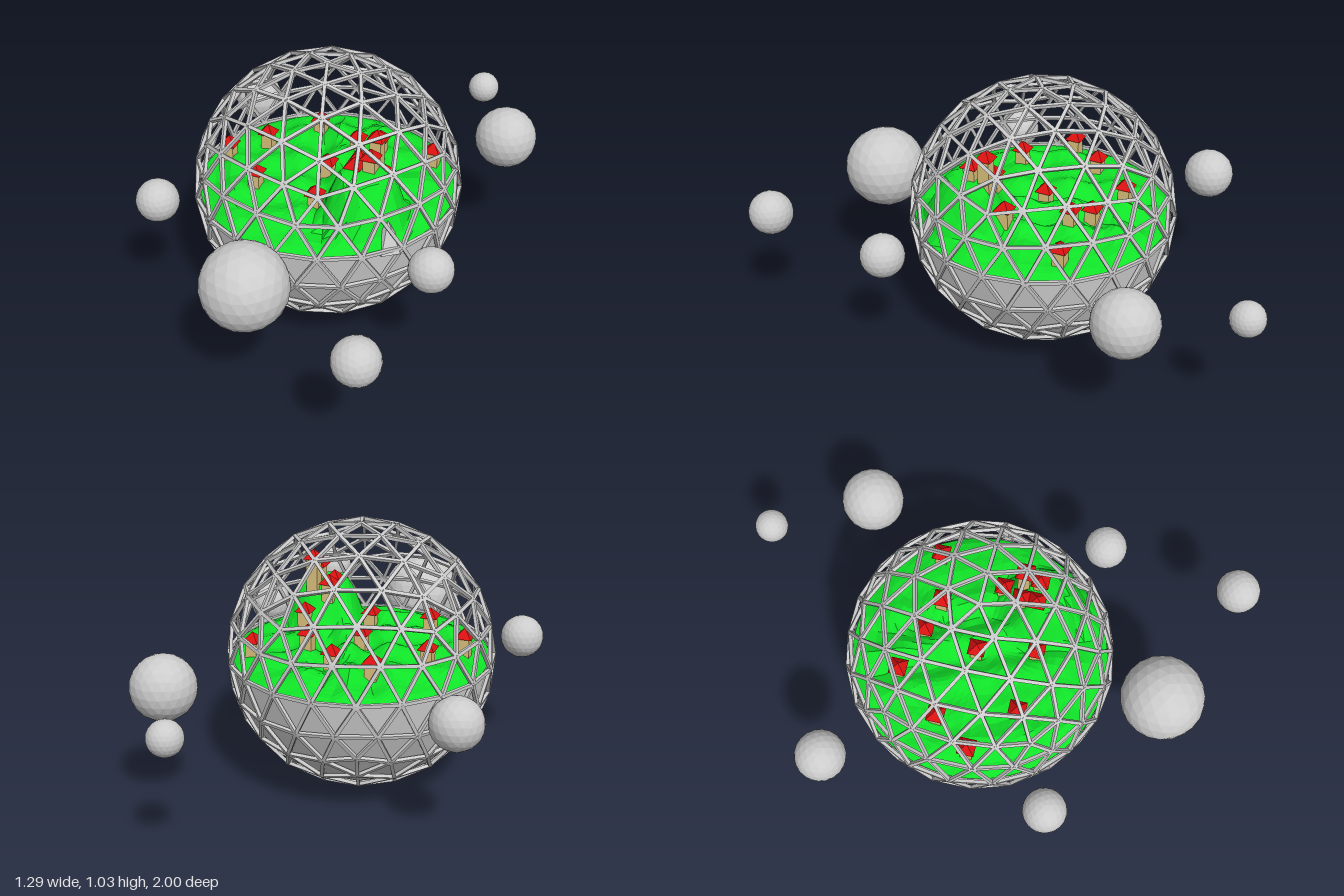
import * as THREE from 'three';
import { mergeGeometries } from 'three/addons/utils/BufferGeometryUtils.js';

const CENTRE = new THREE.Vector3(-0.026, 0.52, -0.01);
const mat = (color, extra = {}) => new THREE.MeshStandardMaterial({ color, flatShading: true, ...extra });
const grey = mat(0xcccccc), green = mat(0x10e428, { side: THREE.DoubleSide });
const red = mat(0xdd1111), sand = mat(0xdcc27c);

// Geodesic sphere with a vertex at each pole and a ring of vertices on the equator
const geodesic = (r) => new THREE.IcosahedronGeometry(r, 3).rotateZ(-Math.atan(2 / (1 + Math.sqrt(5))));

function add(parent, name, geometry, material, x = 0, y = 0, z = 0) {
  const m = new THREE.Mesh(geometry, material);
  m.name = name;
  m.position.set(x, y, z);
  parent.add(m);
  return m;
}

// One thin square bar for every edge of the geodesic sphere
function cageGeometry(r) {
  const p = geodesic(r).attributes.position;
  const seen = new Set(), bars = [], look = new THREE.Object3D();
  const key = (v) => v.toArray().map((n) => Math.round(n * 1000)).join();
  for (let i = 0; i < p.count; i += 3) {
    for (let k = 0; k < 3; k++) {
      const a = new THREE.Vector3().fromBufferAttribute(p, i + k);
      const b = new THREE.Vector3().fromBufferAttribute(p, i + (k + 1) % 3);
      const mid = a.clone().add(b).multiplyScalar(0.5);
      if (seen.has(key(mid))) continue;
      seen.add(key(mid));
      look.up.copy(mid).normalize();
      look.position.copy(mid);
      look.lookAt(b);
      look.updateMatrix();
      bars.push(new THREE.BoxGeometry(0.013, 0.013, a.distanceTo(b) + 0.004).applyMatrix4(look.matrix));
    }
  }
  return mergeGeometries(bars);
}

// Lower half of the geodesic sphere
function bowlGeometry(r) {
  const p = geodesic(r).attributes.position, out = [];
  for (let i = 0; i < p.count; i += 3) {
    if (p.getY(i) + p.getY(i + 1) + p.getY(i + 2) > 0) continue;
    for (let k = 0; k < 3; k++) out.push(p.getX(i + k), p.getY(i + k), p.getZ(i + k));
  }
  const g = new THREE.BufferGeometry();
  g.setAttribute('position', new THREE.Float32BufferAttribute(out, 3));
  g.computeVertexNormals();
  return g;
}

// Rolling ground with one steep, flat-topped hill
function groundHeight(x, z) {
  const r = Math.hypot(x - CENTRE.x, z - CENTRE.z) / 0.49;
  const wave = Math.sin(23 * x + 9 * z) * Math.sin(21 * z - 8 * x + 1) + 0.5 * Math.sin(41 * x - 17 * z);
  const rim = Math.max(0, 1 - r ** 6);
  const d = Math.hypot(x - 0.2, z - 0.19) + 0.012 * Math.sin(30 * x) * Math.cos(27 * z);
  const hill = 1 - THREE.MathUtils.smoothstep(d, 0.07, 0.19);
  return 0.518 + rim * (0.043 + 0.024 * wave * (1 - hill)) + 0.175 * hill * Math.min(1, rim * 2);
}

function groundGeometry() {
  const g = new THREE.RingGeometry(0.0005, 0.488, 56, 17).rotateX(-Math.PI / 2);
  g.translate(CENTRE.x, 0, CENTRE.z);
  const p = g.attributes.position;
  for (let i = 0; i < p.count; i++) p.setY(i, groundHeight(p.getX(i), p.getZ(i)));
  g.computeVertexNormals();
  return g;
}

// Square sand-coloured body under a red pyramid roof
function building(name, x, z, base, eaves, roofHeight = 0.037) {
  const b = new THREE.Group();
  b.name = name;
  b.position.set(x, 0, z);
  add(b, 'walls', new THREE.BoxGeometry(0.045, eaves - base, 0.045), sand, 0, (base + eaves) / 2, 0);
  const roof = new THREE.ConeGeometry(0.046, roofHeight, 4).rotateY(Math.PI / 4);
  add(b, 'roof', roof, red, 0, eaves + roofHeight / 2, 0);
  return b;
}

export function createModel() {
  const model = new THREE.Group();
  model.name = 'domedIsland';

  const { x, y, z } = CENTRE;
  add(model, 'cage', cageGeometry(0.506), grey, x, y, z);
  add(model, 'bowl', bowlGeometry(0.493), mat(0xcccccc, { side: THREE.DoubleSide }), x, y, z);
  add(model, 'ground', groundGeometry(), green);
  add(model, 'crag', new THREE.ConeGeometry(0.06, 0.12, 5), grey, 0.325, 0.56, 0.285);

  // Village houses
  const houses = [
    [-0.17, -0.29], [0.01, -0.23], [0.12, -0.19], [0.32, -0.24], [-0.32, -0.11],
    [-0.42, 0.03], [-0.03, -0.02], [0.22, 0.03], [-0.24, 0.18], [0.01, 0.2],
  ];
  for (const [hx, hz] of houses) {
    const h = Math.min(groundHeight(hx, hz), 0.58);
    model.add(building('house', hx, hz, h - 0.03, h + 0.06));
  }

  // Four-towered castle on the hill
  const towers = [[0.15, 0.107, 0.735], [0.15, 0.167, 0.735], [0.213, 0.107, 0.83], [0.213, 0.167, 0.785]];
  for (const [tx, tz, eaves] of towers) model.add(building('castleTower', tx, tz, 0.66, eaves));

  // Ring of moons: x, z, radius
  const moons = [
    [-0.042, 0.7, 0.16], [0.45, 0.912, 0.085], [0.52, 0.375, 0.083], [-0.565, 0.355, 0.083],
    [-0.545, -0.5, 0.097], [0.52, -0.572, 0.123], [0.32, -0.935, 0.065],
  ];
  for (const [mx, mz, r] of moons) add(model, 'moon', geodesic(r), grey, mx, 0.52, mz);

  return model;
}
